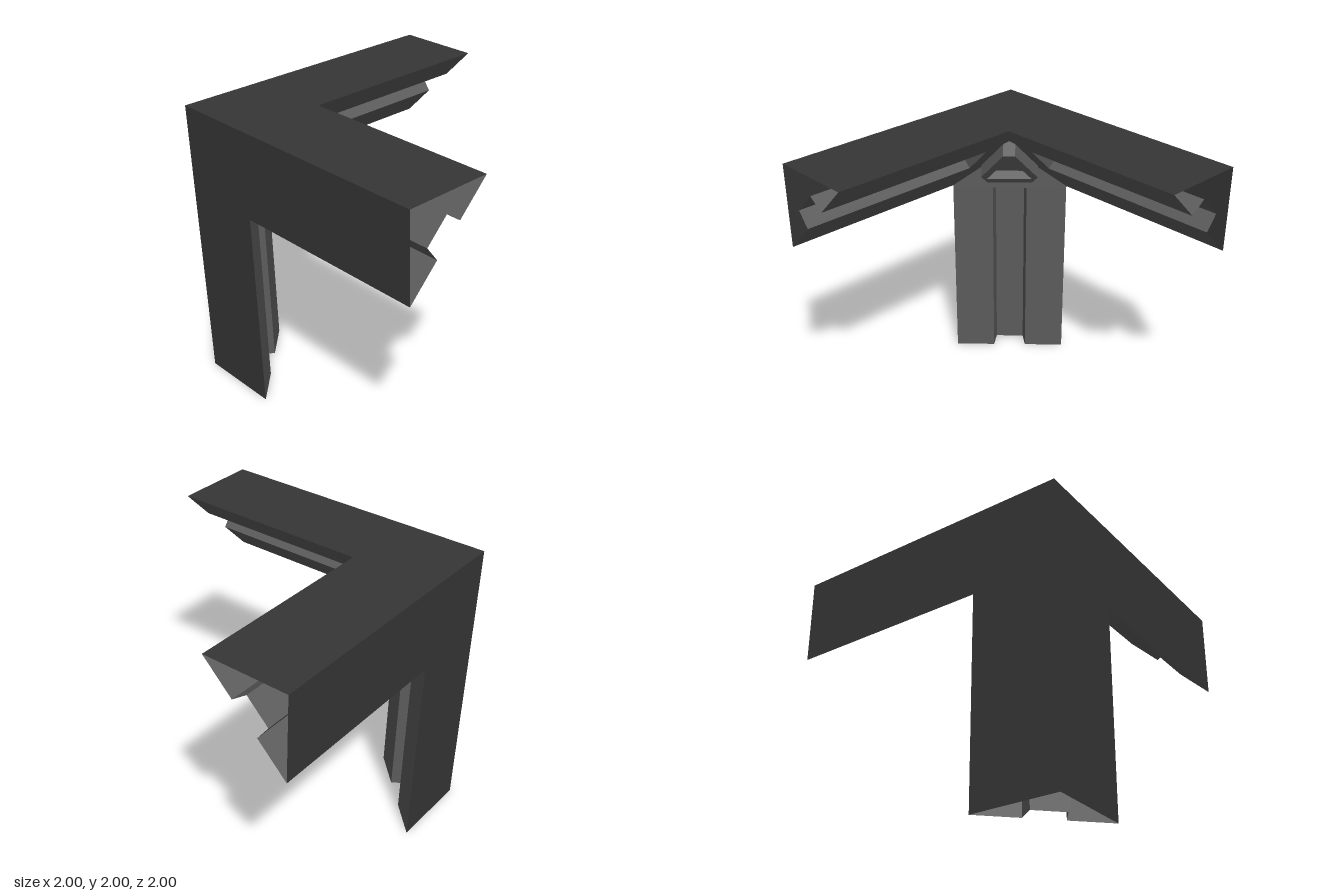
import * as THREE from 'three';

const dark = new THREE.MeshStandardMaterial({ color: 0x363636, side: THREE.DoubleSide });
dark.name = 'dark grey shell';
const grey = new THREE.MeshStandardMaterial({ color: 0x5c5c5c, side: THREE.DoubleSide });
grey.name = 'mid grey lining';

const LEN = 2;      // leg length from the outer corner
const W = 0.593;    // leg width

// Leg space: u runs along the leg, a and b are distances from its two outer walls.
// The three legs are cyclic permutations of the same shape.
function toWorld([u, a, b], leg) {
  const p = [[u, a, b], [b, u, a], [a, b, u]][leg];
  return [p[0] - 1, 2 - p[1], p[2] - 1];
}

// Flat mesh from convex polygons given in leg space
function panel(name, polygons, leg, material) {
  const pos = [];
  for (const poly of polygons) {
    const pts = poly.map(p => toWorld(p, leg));
    for (let i = 1; i < pts.length - 1; i++) pos.push(...pts[0], ...pts[i], ...pts[i + 1]);
  }
  const geo = new THREE.BufferGeometry();
  geo.setAttribute('position', new THREE.Float32BufferAttribute(pos, 3));
  geo.computeVertexNormals();
  const mesh = new THREE.Mesh(geo, material);
  mesh.name = name;
  return mesh;
}

// L-shaped outer wall shared by two legs
function outerWall(leg) {
  return panel('outerWall', [
    [[0, 0, 0], [0, 0, W], [LEN, 0, W], [LEN, 0, 0]],
    [[0, 0, W], [0, 0, LEN], [W, 0, LEN], [W, 0, W]],
  ], leg, dark);
}

// Diagonal inner face with a tapered groove that stops short of the corner
function innerFace(leg) {
  const open = 0.61, deep = 0.63;
  // groove start, a, b
  const profile = [
    [open, W, 0], [open, 0.385, W - 0.385], [deep, 0.28, 0.13],
    [deep, 0.13, 0.28], [open, W - 0.385, 0.385], [open, 0, W],
  ];
  const end = ([, a, b]) => [LEN, a, b];
  const polys = [
    [[W / 2, W / 2, W / 2], [W, W, 0], [W, 0, W]],              // mitred corner
    [[W, W, 0], [open, W, 0], [open, 0, W], [W, 0, W]],         // strip before groove
    profile.slice(1, 5),                                        // groove end
  ];
  for (let i = 0; i < 5; i++) {
    polys.push([profile[i], end(profile[i]), end(profile[i + 1]), profile[i + 1]]);
  }
  return panel('groovedInnerFace', polys, leg, grey);
}

// Triangular boss with clipped corners and a recessed triangular pocket
function cornerBoss() {
  const boss = new THREE.Group();
  boss.name = 'cornerBoss';
  const outline = [], pocket = [];
  for (let k = 0; k < 3; k++) {
    const t = -Math.PI / 2 + k * Math.PI * 2 / 3;
    for (const s of [-0.163, 0.163]) {
      outline.push(new THREE.Vector2(
        0.143 * Math.cos(t) - s * Math.sin(t),
        0.143 * Math.sin(t) + s * Math.cos(t)));
    }
    const v = t + Math.PI / 3;
    pocket.push(new THREE.Vector2(0.188 * Math.cos(v), 0.188 * Math.sin(v)));
  }
  const shape = new THREE.Shape(outline);
  shape.holes.push(new THREE.Path(pocket));
  const ring = new THREE.Mesh(
    new THREE.ExtrudeGeometry(shape, { depth: 0.13, bevelEnabled: false }), grey);
  ring.name = 'bossRing';
  const floor = new THREE.Mesh(new THREE.ShapeGeometry(new THREE.Shape(pocket)), grey);
  floor.name = 'pocketFloor';
  floor.position.z = 0.06;
  boss.add(ring, floor);

  // face along the inner diagonal of the corner
  const z = new THREE.Vector3(1, -1, 1).normalize();
  const y = new THREE.Vector3(1, 2, 1).normalize();
  const x = new THREE.Vector3().crossVectors(y, z);
  boss.quaternion.setFromRotationMatrix(new THREE.Matrix4().makeBasis(x, y, z));
  boss.position.set(-0.662, 1.662, -0.662);
  return boss;
}

export function createModel() {
  const model = new THREE.Group();
  model.name = 'cornerBracket';
  ['crossLeg', 'uprightLeg', 'forwardLeg'].forEach((name, leg) => {
    const group = new THREE.Group();
    group.name = name;
    group.add(outerWall(leg), innerFace(leg));
    model.add(group);
  });
  model.add(cornerBoss());
  return model;
}
